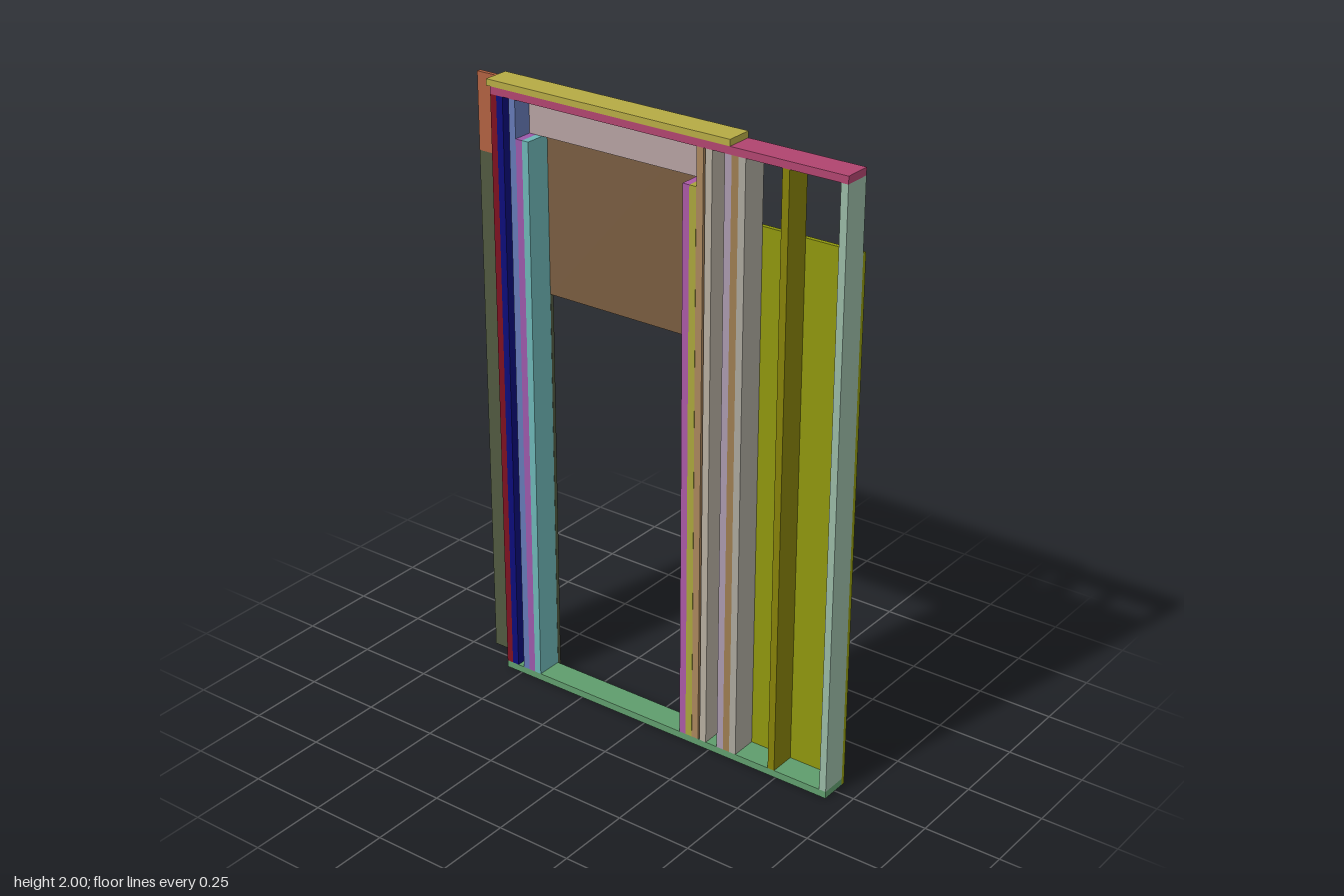
import * as THREE from 'three';

// Framed wall section with a door opening, sheathed on the back
export function createModel() {
  const group = new THREE.Group();

  // Box from its extents on each axis
  function board(name, color, [x0, x1], [y0, y1], [z0, z1]) {
    const mesh = new THREE.Mesh(
      new THREE.BoxGeometry(x1 - x0, y1 - y0, z1 - z0),
      new THREE.MeshStandardMaterial({ color })
    );
    mesh.position.set((x0 + x1) / 2, (y0 + y1) / 2, (z0 + z1) / 2);
    mesh.name = name;
    group.add(mesh);
  }

  const T = 0.0235;              // lumber thickness
  const frameZ = [-0.038, 0.05];
  const panelZ = [-0.052, -0.038];
  const top = 1.98, under = top - T, headerBase = 1.838;

  // Horizontal plates
  board('bottomPlate', 0x5f9c6c, [-0.56, 0.682], [0, T], frameZ);
  board('topPlate', 0xb0446f, [-0.56, 0.682], [under, top], frameZ);
  board('capPlate', 0xb5aa44, [-0.575, 0.297], [top, 2], frameZ);

  // Full-height studs: name, left edge, color
  const studs = [
    ['endStudRight', -0.56, 0x7d1020],
    ['cornerStud', -0.5375, 0x0c0c78],
    ['kingStudRight', -0.491, 0x6478b4],
    ['kingStudLeft', 0.185, 0xa8855c],
    ['innerStud', 0.215, 0xb4ac9e],
    ['partitionStudA', 0.28, 0xa898ac],
    ['partitionStudB', 0.3035, 0x9c7c50],
    ['partitionStudC', 0.327, 0xaaa69c],
    ['middleStud', 0.471, 0x858008],
    ['endStudLeft', 0.6585, 0x98b8a4],
  ];
  for (const [name, x, color] of studs) board(name, color, [x, x + T], [T, under], frameZ);

  // Trimmer studs carrying the header
  const trimmers = [
    ['outerTrimmerRight', -0.4675, 0x9a58a8],
    ['innerTrimmerRight', -0.444, 0x6cb4b4],
    ['innerTrimmerLeft', 0.1375, 0xa858a4],
    ['outerTrimmerLeft', 0.161, 0xa8a43c],
  ];
  for (const [name, x, color] of trimmers) board(name, color, [x, x + T], [T, headerBase], frameZ);

  // Header set against the back of the opening
  board('header', 0xb4a0a0, [-0.4675, 0.185], [headerBase, under], [-0.038, -0.0145]);

  // Back sheathing
  board('sheathingRight', 0x505840, [-0.685, -0.42], [0, 1.732], panelZ);
  board('sheathingRightTop', 0xb06040, [-0.685, -0.42], [1.732, top], panelZ);
  board('sheathingOverDoor', 0x785c40, [-0.42, 0.1375], [1.328, top], panelZ);
  board('sheathingLeft', 0x8e960e, [0.1375, 0.682], [0, 1.732], panelZ);

  return group;
}
